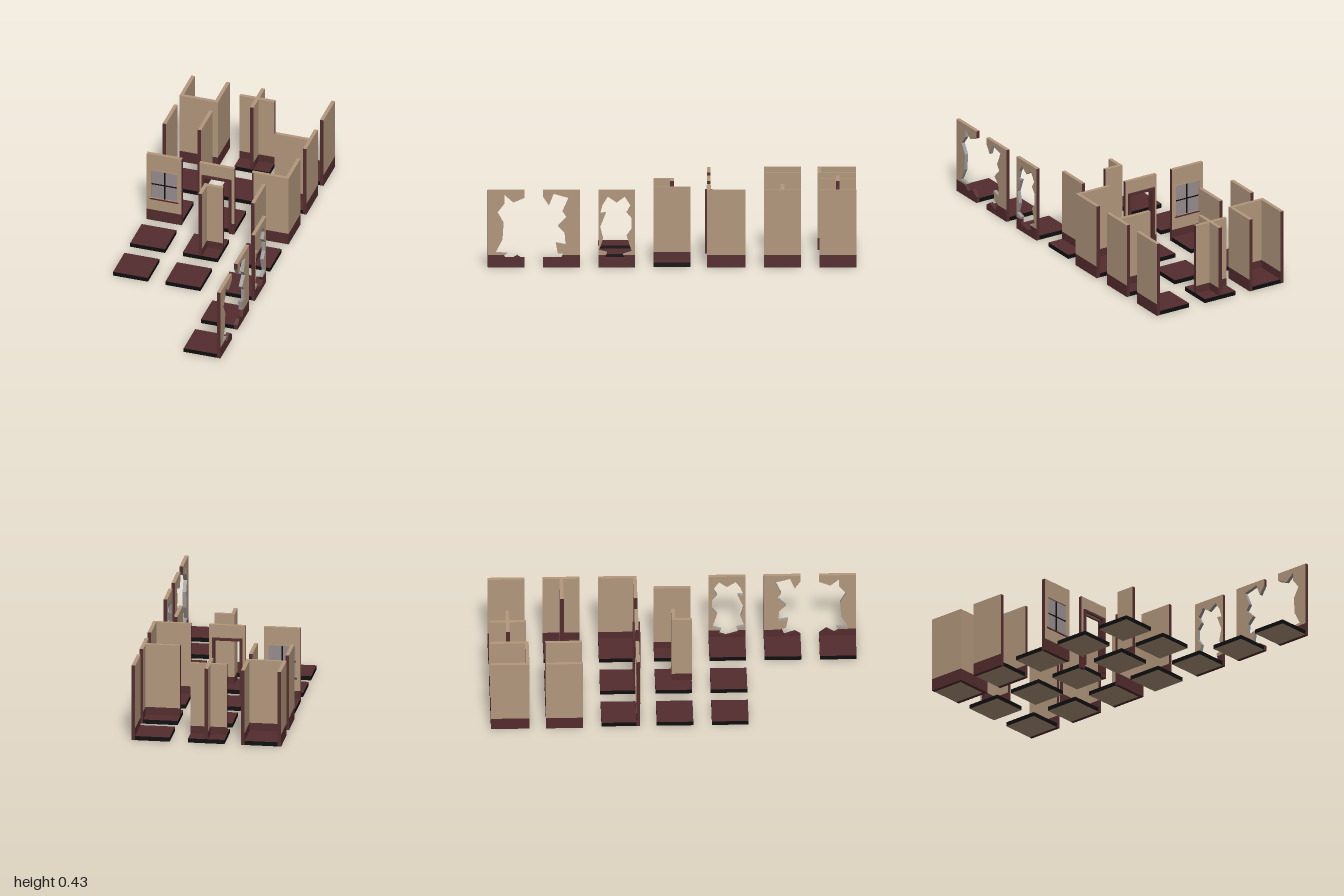
import * as THREE from 'three';

const mat = (name, color) => {
  const m = new THREE.MeshStandardMaterial({ color });
  m.name = name;
  return m;
};
const plaster = mat('tan plaster', 0xb2977c);
const wood = mat('dark red wood', 0x542c2e);
const black = mat('black trim', 0x0e0e0e);
const glass = mat('grey glass', 0x968c8e);
const rubble = mat('broken core grey', 0x9a9a9c);

const H = 0.425, FLOOR = 0.024, BASE = 0.068, T = 0.02, HALF = 0.1;

function box(parent, name, material, x0, x1, y0, y1, z0, z1) {
  const mesh = new THREE.Mesh(new THREE.BoxGeometry(x1 - x0, y1 - y0, z1 - z0), material);
  mesh.position.set((x0 + x1) / 2, (y0 + y1) / 2, (z0 + z1) / 2);
  mesh.name = name;
  parent.add(mesh);
  return mesh;
}

// Keep the part of a convex polygon above (sign 1) or below (sign -1) the baseboard line
function clip(poly, sign) {
  const out = [];
  poly.forEach((a, i) => {
    const b = poly[(i + 1) % poly.length];
    const da = (a.y - BASE) * sign, db = (b.y - BASE) * sign;
    if (da >= 0) out.push(a);
    if (da * db < 0) out.push(a.clone().lerp(b, da / (da - db)));
  });
  return out;
}

// Extruded wall panel: plaster faces, wooden ends, wooden baseboard
function panel(outline, hole, reveal) {
  const toV2 = (p) => new THREE.Vector2(p[0], p[1]);
  const shape = new THREE.Shape(outline.map(toV2));
  if (hole) shape.holes.push(new THREE.Path(hole.map(toV2)));
  let geo = new THREE.ExtrudeGeometry(shape, { depth: T, bevelEnabled: false });
  if (geo.index) geo = geo.toNonIndexed();
  geo.translate(0, 0, -T / 2);
  const pos = geo.attributes.position, buckets = new Map();
  const add = (poly, material) => {
    if (!buckets.has(material)) buckets.set(material, []);
    for (let i = 1; i + 1 < poly.length; i++)
      for (const v of [poly[0], poly[i], poly[i + 1]]) buckets.get(material).push(v.x, v.y, v.z);
  };
  for (let i = 0; i < pos.count; i += 3) {
    const tri = [0, 1, 2].map((k) => new THREE.Vector3().fromBufferAttribute(pos, i + k));
    const n = new THREE.Triangle(...tri).getNormal(new THREE.Vector3());
    let upper = reveal;
    if (Math.abs(n.z) > 0.9 || tri.every((v) => v.y > H - 1e-4)) upper = plaster;
    else if (tri.every((v) => Math.abs(Math.abs(v.x) - HALF) < 1e-4)) upper = wood;
    add(clip(tri, 1), upper);
    add(clip(tri, -1), wood);
  }
  const group = new THREE.Group();
  for (const [material, list] of buckets) {
    const g = new THREE.BufferGeometry();
    g.setAttribute('position', new THREE.Float32BufferAttribute(list, 3));
    g.computeVertexNormals();
    const mesh = new THREE.Mesh(g, material);
    mesh.name = material === wood ? 'wallTrim' : material === plaster ? 'wallFace' : 'brokenEdge';
    group.add(mesh);
  }
  return group;
}

const rect = (u0, u1, y0, y1) => [[u0, y0], [u1, y0], [u1, y1], [u0, y1]];

// Place a wall in a tile; alongZ turns it so that +u points to -z
function wall(tile, name, x, z, alongZ, outline, hole = null, reveal = plaster) {
  const w = panel(outline, hole, reveal);
  w.name = name;
  w.position.set(x, 0, z);
  if (alongZ) w.rotation.y = Math.PI / 2;
  tile.add(w);
  return w;
}
const full = rect(-HALF, HALF, 0, H);
const inner = rect(-HALF, HALF, FLOOR, H);
const sideWall = (tile, s = 1) => wall(tile, 'sideWall', s * HALF, 0, true, full);

function addWindow(w) {
  for (const s of [-1, 1]) {
    const a = s * 0.0785;
    box(w, 'windowJamb', plaster, a - 0.0035, a + 0.0035, 0.143, 0.327, -0.013, 0.013);
  }
  box(w, 'windowHead', plaster, -0.075, 0.075, 0.322, 0.327, -0.013, 0.013);
  box(w, 'windowSill', wood, -0.082, 0.082, 0.135, 0.143, -0.013, 0.013);
  box(w, 'windowPane', glass, -0.075, 0.075, 0.143, 0.322, -0.003, 0.003);
  box(w, 'verticalMullion', black, -0.004, 0.004, 0.143, 0.322, -0.006, 0.006);
  box(w, 'horizontalMullion', black, -0.075, 0.075, 0.229, 0.235, -0.006, 0.006);
}

function addDoorFrame(w) {
  for (const s of [-1, 1]) {
    const a = s * 0.0765;
    box(w, 'doorJamb', wood, a - 0.0075, a + 0.0075, FLOOR, 0.338, -0.02, 0.02);
  }
  box(w, 'doorHead', wood, -0.084, 0.084, 0.338, 0.352, -0.02, 0.02);
}

export function createModel() {
  const root = new THREE.Group();
  root.name = 'roomTileSet';

  // Floor tile: wooden top, black edges, tan underside
  const tile = (name, x, z) => {
    const g = new THREE.Group();
    g.name = name;
    g.position.set(x, 0, z);
    root.add(g);
    const floor = box(g, 'floor', black, -0.0995, 0.0995, 0.0005, FLOOR, -0.0995, 0.0995);
    floor.material = [black, black, wood, plaster, black, black];
    return g;
  };

  // Bare floors
  for (const [x, z] of [[0, -0.6], [-0.3, 0], [-0.3, 0.3], [0, 0.3]]) tile('bareTile', x, z);

  // Dead end, corridor and single wall
  let t = tile('deadEndTile', -0.3, -0.9);
  sideWall(t); sideWall(t, -1);
  wall(t, 'frontWall', 0, HALF, false, rect(-0.11, 0.11, 0, H));
  t = tile('corridorTile', -0.3, -0.6);
  sideWall(t); sideWall(t, -1);
  sideWall(tile('singleWallTile', 0.3, -0.9));

  // Cross, junction, corners and centre wall
  t = tile('crossTile', 0, -0.9);
  wall(t, 'crossWall', 0, 0, false, inner);
  wall(t, 'crossWall', 0, 0, true, inner);
  t = tile('junctionTile', 0.3, -0.6);
  sideWall(t);
  wall(t, 'dividingWall', 0, 0, false, inner);
  t = tile('outerCornerTile', 0.3, -0.3);
  sideWall(t);
  wall(t, 'frontWall', 0, HALF, false, rect(-HALF, 0.11, 0, H));
  box(t, 'cornerTrim', wood, -HALF, -0.09, 0, H - 0.004, 0.11, 0.1105);
  t = tile('innerCornerTile', 0, 0);
  wall(t, 'cornerWall', 0, 0, false, rect(-0.01, HALF, FLOOR, H));
  wall(t, 'cornerWall', 0, 0, true, rect(-HALF, 0, FLOOR, H));
  wall(tile('centreWallTile', 0.3, 0), 'centreWall', 0, 0, true, inner);

  // Window and doorway
  addWindow(wall(tile('windowTile', -0.3, -0.3), 'windowWall', 0, HALF, false, full,
    rect(-0.075, 0.075, 0.143, 0.322)));
  addDoorFrame(wall(tile('doorTile', 0, -0.3), 'doorWall', 0, HALF, false, [
    [-HALF, 0], [-0.07, 0], [-0.07, 0.338], [0.07, 0.338], [0.07, 0], [HALF, 0], [HALF, H], [-HALF, H]]));

  // Broken walls with ragged openings
  wall(tile('holeTile', 0.3, 0.3), 'brokenWall', HALF, 0, true, full, [
    [-0.09, 0.297], [-0.076, 0.345], [-0.048, 0.388], [0, 0.356], [0.043, 0.388], [0.075, 0.34],
    [0.054, 0.302], [0.081, 0.27], [0.081, 0.211], [0.054, 0.174], [0.081, 0.088], [0.033, 0.072],
    [0.049, 0.045], [0.006, 0.029], [-0.064, 0.051], [-0.053, 0.083], [-0.096, 0.094],
    [-0.074, 0.158], [-0.09, 0.222], [-0.058, 0.302]], rubble);
  wall(tile('brokenRightTile', 0.3, 0.6), 'brokenWall', HALF, 0, true, [
    [-HALF, 0], [HALF, 0], [HALF, H], [-HALF, H], [-HALF, 0.388], [-0.068, 0.34], [-0.042, 0.404],
    [-0.004, 0.393], [0.039, 0.382], [0.006, 0.307], [0.028, 0.275], [-0.02, 0.227], [0.017, 0.19],
    [0.022, 0.126], [-0.031, 0.136], [-0.02, 0.078], [0.01, 0.075], [-0.01, 0.029],
    [-0.068, 0.05], [-HALF, 0.029]], null, rubble);
  wall(tile('brokenLeftTile', 0.3, 0.9), 'brokenWall', HALF, 0, true, [
    [-HALF, 0], [HALF, 0], [HALF, 0.035], [0.06, 0.067], [0.018, 0.04], [-0.016, 0.062],
    [0.007, 0.078], [-0.057, 0.083], [-0.02, 0.152], [-0.014, 0.243], [-0.047, 0.302],
    [-0.009, 0.35], [-0.009, 0.398], [0.039, 0.356], [HALF, 0.382], [HALF, H], [-HALF, H]], null, rubble);

  return root;
}
